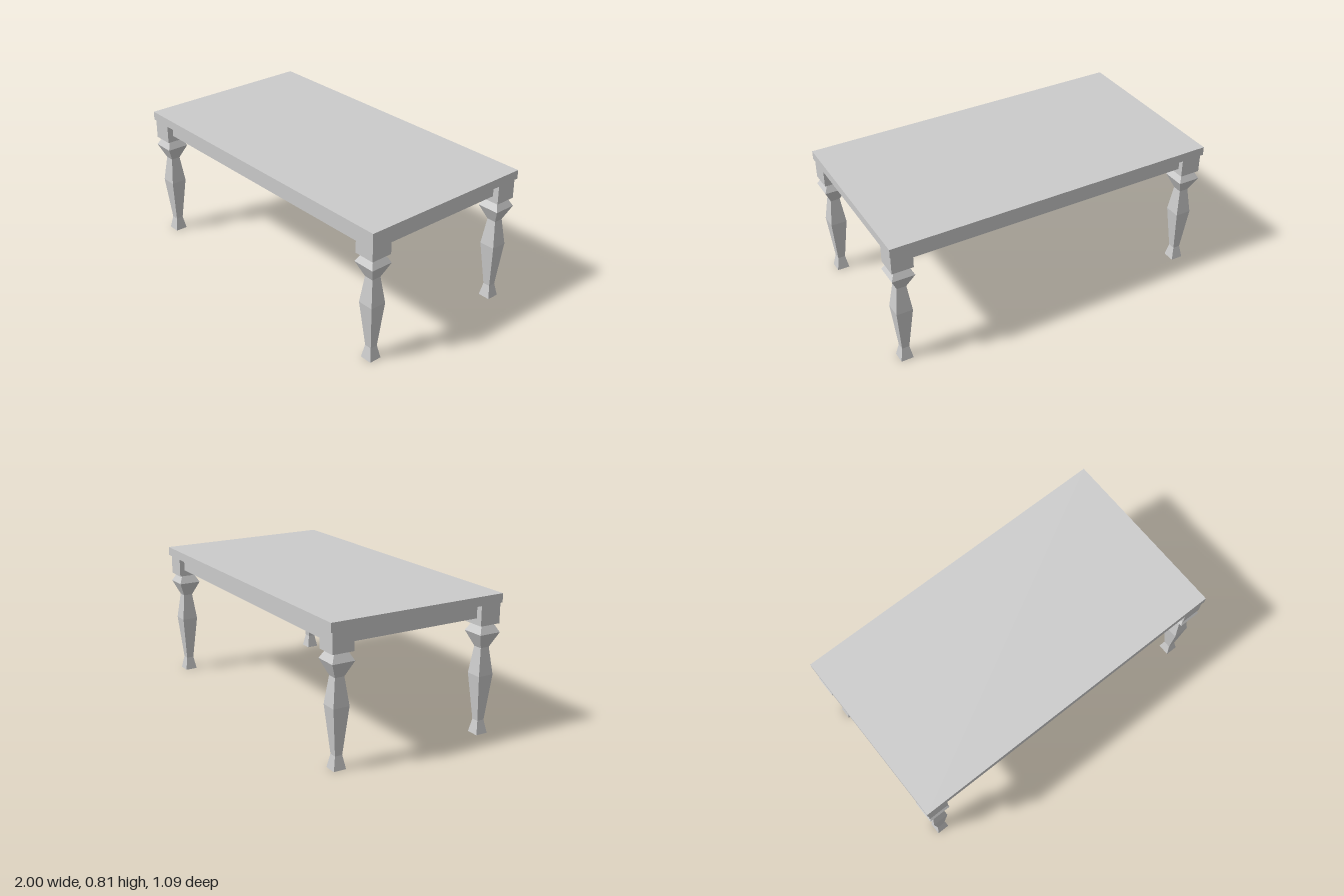
import * as THREE from 'three';

export function createModel() {
  const table = new THREE.Group();
  table.name = 'table';
  const material = new THREE.MeshStandardMaterial({ color: 0xcccccc, flatShading: true });

  const add = (parent, name, geometry, x, y, z) => {
    const mesh = new THREE.Mesh(geometry, material);
    mesh.name = name;
    mesh.position.set(x, y, z);
    parent.add(mesh);
  };

  // Top slab and the recessed solid apron below it
  add(table, 'tableTop', new THREE.BoxGeometry(2, 0.052, 1.086), 0, 0.789, 0);
  add(table, 'apron', new THREE.BoxGeometry(1.91, 0.08, 0.996), 0, 0.723, 0);

  // Square baluster leg: [half width, height] from the foot up
  const profile = [
    [0, 0], [0.037, 0], [0.022, 0.078], [0.048, 0.35],
    [0.028, 0.508], [0.067, 0.595], [0.04, 0.646],
  ].map(([w, y]) => new THREE.Vector2(w * Math.SQRT2, y));
  const legGeometry = new THREE.LatheGeometry(profile, 4, Math.PI / 4).toNonIndexed();
  legGeometry.computeVertexNormals();
  const blockGeometry = new THREE.BoxGeometry(0.126, 0.118, 0.128);

  // One leg with its corner block at each corner
  for (const [zName, z] of [['front', 0.471], ['back', -0.465]]) {
    for (const [xName, x] of [['Left', 0.929], ['Right', -0.929]]) {
      const leg = new THREE.Group();
      leg.name = `${zName}${xName}Leg`;
      leg.position.set(x, 0, z);
      add(leg, 'baluster', legGeometry, 0, 0, 0);
      add(leg, 'cornerBlock', blockGeometry, 0, 0.704, 0);
      table.add(leg);
    }
  }
  return table;
}
